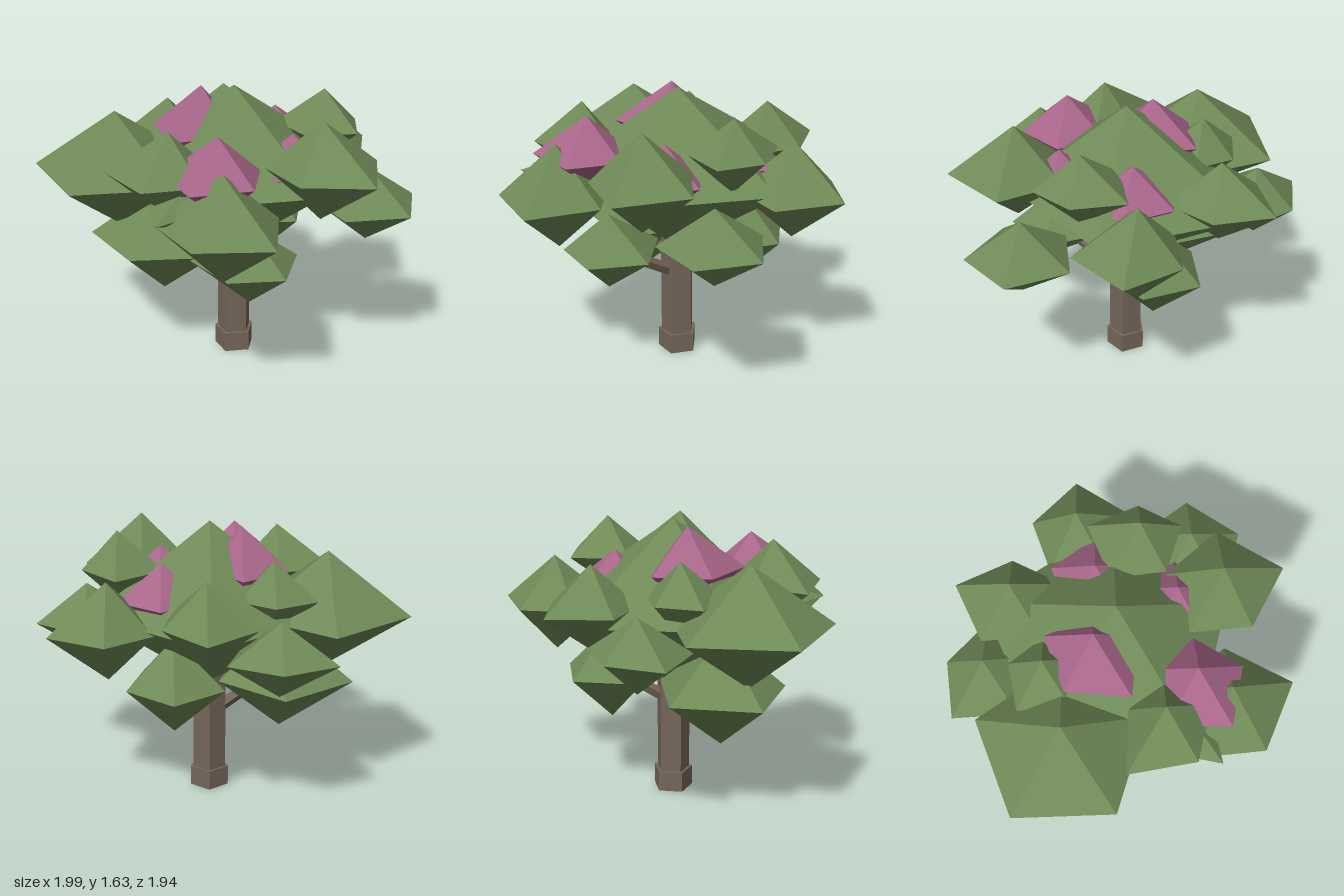
import * as THREE from 'three';

const paint = (color) => new THREE.MeshStandardMaterial({ color, flatShading: true });
const leaf = paint(0x6f8a57);
const blossom = paint(0xa8668a);
const bark = paint(0x75665a);

// Five-sided double pyramid: half-height h, one radius per ring corner
function clumpGeometry(h, radii) {
  const ring = radii.map((r, k) => {
    const a = (k * Math.PI * 2) / 5;
    return [r * Math.cos(a), 0, -r * Math.sin(a)];
  });
  const points = [];
  ring.forEach((p, k) => {
    const q = ring[(k + 1) % 5];
    points.push(...p, ...q, 0, h, 0, ...q, ...p, 0, -h, 0);
  });
  const geometry = new THREE.BufferGeometry();
  geometry.setAttribute('position', new THREE.Float32BufferAttribute(points, 3));
  geometry.computeVertexNormals();
  return geometry;
}

function addClump(parent, name, material, [x, y, z], h, radii) {
  const ring = Array.isArray(radii) ? radii : Array(5).fill(radii);
  const mesh = new THREE.Mesh(clumpGeometry(h, ring), material);
  mesh.name = name;
  mesh.position.set(x, y, z);
  parent.add(mesh);
}

// Five-sided log between two points
function addLog(parent, name, from, to, r0, r1) {
  const a = new THREE.Vector3(...from);
  const b = new THREE.Vector3(...to);
  const dir = b.clone().sub(a);
  const geometry = new THREE.CylinderGeometry(r1, r0, dir.length(), 5);
  geometry.rotateY(Math.PI / 2); // one corner faces +x
  const mesh = new THREE.Mesh(geometry, bark);
  mesh.name = name;
  mesh.position.copy(a).add(b).multiplyScalar(0.5);
  mesh.quaternion.setFromUnitVectors(new THREE.Vector3(0, 1, 0), dir.normalize());
  parent.add(mesh);
}

export function createModel() {
  const tree = new THREE.Group();
  tree.name = 'tree';

  // Trunk, foot and branches
  const wood = new THREE.Group();
  wood.name = 'wood';
  addLog(wood, 'trunk', [-0.01, 0.1, 0.04], [-0.01, 0.8, 0.04], 0.1, 0.1);
  addLog(wood, 'trunkFoot', [-0.01, 0, 0.04], [-0.01, 0.12, 0.04], 0.118, 0.118);
  addLog(wood, 'branch', [0, 0.5, 0.05], [0.36, 0.74, 0.28], 0.038, 0.032);
  addLog(wood, 'branch', [-0.02, 0.47, 0.06], [-0.25, 0.74, 0.32], 0.038, 0.032);
  addLog(wood, 'branch', [-0.02, 0.55, 0.03], [-0.12, 0.74, -0.25], 0.038, 0.032);
  tree.add(wood);

  // Foliage: centre, half-height, ring radii
  const crown = new THREE.Group();
  crown.name = 'crown';
  addClump(crown, 'crownCore', leaf, [-0.01, 1.14, 0.04], 0.49, [0.66, 0.7, 0.78, 0.72, 0.7]);
  const clumps = [
    [[-0.48, 1.14, 0.515], 0.34, [0.48, 0.48, 0.5, 0.48, 0.474]],
    [[0, 1.115, -0.65], 0.28, [0.35, 0.336, 0.272, 0.27, 0.33]],
    [[-0.484, 1.22, -0.34], 0.24, [0.3, 0.245, 0.334, 0.288, 0.26]],
    [[0.28, 1.37, -0.39], 0.21, [0.25, 0.21, 0.3, 0.28, 0.24]],
    [[0.605, 0.975, -0.405], 0.22, 0.312],
    [[-0.745, 1.04, -0.05], 0.21, [0.3, 0.3, 0.233, 0.32, 0.3]],
    [[0.612, 1.28, 0], 0.28, [0.378, 0.35, 0.31, 0.31, 0.28]],
    [[0.452, 1.07, 0.58], 0.305, [0.388, 0.33, 0.33, 0.37, 0.33]],
    [[0.065, 1.265, 0.6], 0.245, [0.26, 0.25, 0.2, 0.358, 0.286]],
    [[-0.457, 1.27, 0.14], 0.21, [0.25, 0.21, 0.2, 0.25, 0.25]],
    [[-0.285, 0.72, 0.35], 0.325, [0.41, 0.38, 0.42, 0.43, 0.37]],
    [[0.38, 0.75, 0.31], 0.225, [0.275, 0.3, 0.33, 0.33, 0.255]],
    [[-0.13, 0.755, -0.3], 0.28, [0.3, 0.28, 0.3, 0.3, 0.27]],
    [[0.21, 1.13, 0.63], 0.1, [0.12, 0.1, 0.1, 0.2, 0.28]],
  ];
  for (const clump of clumps) addClump(crown, 'leafClump', leaf, ...clump);

  // Blossoms half sunk into the crown
  const blossoms = [
    [[-0.17, 1.375, 0.14], 0.24, [0.25, 0.2, 0.28, 0.28, 0.33]],
    [[0.295, 1.28, 0.46], 0.225, [0.27, 0.25, 0.25, 0.3, 0.31]],
    [[-0.01, 1.24, -0.295], 0.2, 0.26],
    [[0.37, 1.22, -0.035], 0.2, 0.24],
  ];
  for (const clump of blossoms) addClump(crown, 'blossom', blossom, ...clump);
  tree.add(crown);

  return tree;
}
